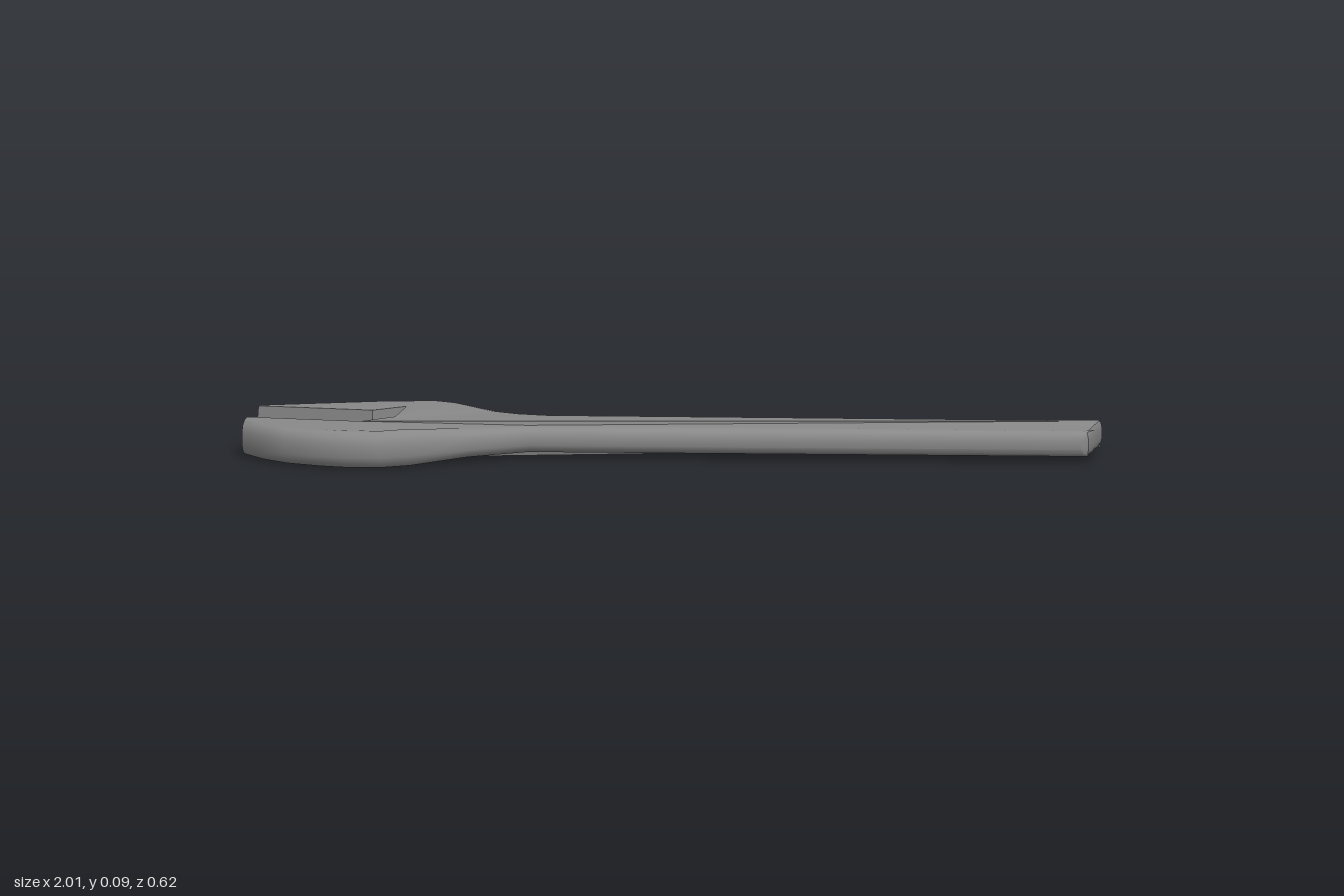
import * as THREE from 'three';
import { toCreasedNormals } from 'three/addons/utils/BufferGeometryUtils.js';

const MID = 0.0455;

// Rounded edge, bottom to top: [share of the bevel, share of the half height]
const EDGE = [[1, -1], [0.5, -0.93], [0.18, -0.72], [0, -0.35], [0, 0.35], [0.18, 0.72], [0.5, 0.93], [1, 1]];

// Inset an outline of [x, z, bevel of the edge that starts here]
function inset(points, share) {
  const n = points.length;
  const normal = (a, b) => {
    const dx = b[0] - a[0], dz = b[1] - a[1], l = Math.hypot(dx, dz);
    return [-dz / l, dx / l];
  };
  return points.map((p, i) => {
    const prev = points[(i + n - 1) % n], next = points[(i + 1) % n];
    const m = normal(prev, p), k = normal(p, next);
    const d = prev[2] * share, e = p[2] * share;
    const det = m[0] * k[1] - m[1] * k[0];
    if (Math.abs(det) < 0.05) {
      return new THREE.Vector2(p[0] + m[0] * (d + e) / 2, p[1] + m[1] * (d + e) / 2);
    }
    return new THREE.Vector2(
      p[0] + (d * k[1] - e * m[1]) / det,
      p[1] + (e * m[0] - d * k[0]) / det
    );
  });
}

// Stack inset outlines into a solid with rounded rims and flat caps
function plate(points, halfHeight, levels, adjust = () => {}) {
  const n = points.length, positions = [], index = [];
  const rings = levels.map(([share, rise], l) => {
    const ring = inset(points, share);
    adjust(ring, l);
    ring.forEach((v, i) => positions.push(v.x, MID + rise * halfHeight(points[i][0]), v.y));
    return ring;
  });
  for (let l = 0; l < levels.length - 1; l++) {
    for (let i = 0; i < n; i++) {
      const j = (i + 1) % n;
      const a = l * n + i, b = l * n + j, c = b + n, d = a + n;
      index.push(a, d, b, b, d, c);
    }
  }
  const top = (levels.length - 1) * n;
  for (const [a, b, c] of THREE.ShapeUtils.triangulateShape(rings[0], [])) index.push(a, b, c);
  for (const [a, b, c] of THREE.ShapeUtils.triangulateShape(rings[levels.length - 1], [])) {
    index.push(top + a, top + c, top + b);
  }
  const geometry = new THREE.BufferGeometry();
  geometry.setAttribute('position', new THREE.Float32BufferAttribute(positions, 3));
  geometry.setIndex(index);
  return toCreasedNormals(geometry, 0.65);
}

export function createModel() {
  const group = new THREE.Group();
  const steel = new THREE.MeshStandardMaterial({ color: 0x888888 });
  steel.name = 'steel grey';
  const add = (name, geometry) => {
    const mesh = new THREE.Mesh(geometry, steel);
    mesh.name = name;
    group.add(mesh);
    return mesh;
  };

  // Handle, head and fixed jaw; points 14 to 17 are the slide channel
  const r = 0.032;
  const body = [
    [0.985, -0.312, 0.012], [1, -0.3, 0.012], [1, -0.14, 0.012], [0.985, -0.128, r],
    [-0.32, 0.082, r], [-0.45, 0.162, r], [-0.57, 0.247, r], [-0.64, 0.292, r],
    [-0.72, 0.306, r], [-0.79, 0.3, r], [-0.88, 0.278, r], [-0.95, 0.236, r],
    [-1, 0.186, 0.004], [-1, 0.145, 0],
    [-0.72, 0.145, 0], [-0.65, 0.07, 0],
    [-0.65, 0.05, 0], [-0.6, 0.05, 0], [-0.6, -0.14, 0], [-0.65, -0.14, 0],
    [-0.65, -0.177, r], [-0.605, -0.186, r], [-0.54, -0.175, r], [-0.44, -0.132, r],
    [-0.38, -0.12, r], [-0.31, -0.115, r]
  ];
  const thickness = x => THREE.MathUtils.mapLinear(THREE.MathUtils.clamp(x, -0.56, -0.42), -0.56, -0.42, 0.0445, 0.032);
  // The channel is open below and closed above this repeated level
  const levels = [...EDGE.slice(0, 5), ...EDGE.slice(4)];
  add('body', plate(body, thickness, levels, (ring, l) => {
    if (l > 4) ring[17].x = ring[18].x = -0.6499;
  }));

  // Sliding jaw with a rounded back and flat gripping face
  const jaw = [
    [-0.645, -0.172, 0], [-0.645, -0.07, 0], [-0.72, 0, 0],
    [-1, 0, 0.004], [-1, -0.046, 0.035], [-0.72, -0.157, 0.035]
  ];
  add('slidingJaw', plate(jaw, () => 0.0445, EDGE));

  // Slide bar carrying the jaw along the channel
  const bar = add('slideBar', new THREE.BoxGeometry(0.04, 0.035, 0.285));
  bar.position.set(-0.627, MID - 0.004, -0.0925);

  return group;
}
